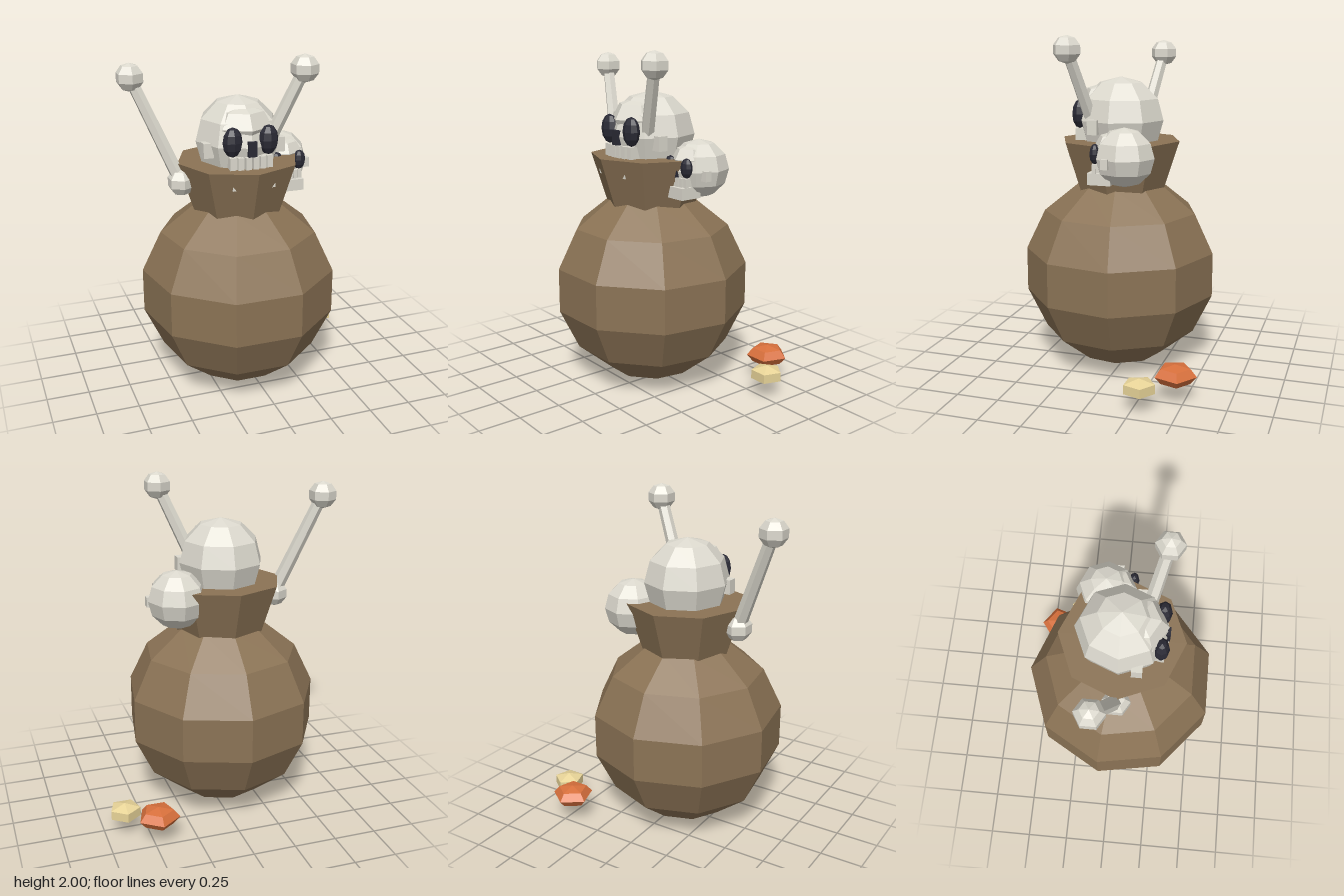
import * as THREE from 'three';

const mat = (color) => new THREE.MeshStandardMaterial({ color, flatShading: true });

export function createModel() {
  const model = new THREE.Group();
  model.name = 'sackOfBones';
  const cloth = mat(0x8b7355);
  const bone = mat(0xdcd9ce);
  const dark = mat(0x2a2a35);
  const amber = mat(0xd8703c);
  const gold = mat(0xe8d498);

  const add = (parent, name, geometry, material, x, y, z) => {
    const mesh = new THREE.Mesh(geometry, material);
    mesh.name = name;
    mesh.position.set(x, y, z);
    parent.add(mesh);
    return mesh;
  };
  // Low-poly ellipsoid with one column of corners facing the back
  const ball = (rx, ry, rz, w, h) =>
    new THREE.SphereGeometry(1, w, h).rotateY(-Math.PI / 2).scale(rx, ry, rz);
  const box = (w, h, d) => new THREE.BoxGeometry(w, h, d);

  // Sack body and flared, filled neck
  add(model, 'sackBody', ball(0.587, 0.587, 0.587, 9, 7), cloth, -0.06, 0.59, 0.032);
  add(model, 'sackNeck', new THREE.CylinderGeometry(0.36, 0.25, 0.34, 8), cloth, -0.06, 1.215, 0.032);

  // Skull built around the centre of its cranium, facing +z
  const addSkull = (name, x, y, z, scale) => {
    const skull = new THREE.Group();
    skull.name = name;
    skull.position.set(x, y, z);
    skull.scale.setScalar(scale);
    add(skull, 'cranium', ball(0.25, 0.25, 0.26, 8, 6), bone, 0, 0, 0);
    add(skull, 'brow', ball(0.17, 0.12, 0.16, 6, 4), bone, 0, 0.095, 0.095);
    add(skull, 'upperJaw', box(0.24, 0.07, 0.16), bone, 0, -0.085, 0.15);
    add(skull, 'lowerJaw', box(0.25, 0.1, 0.2), bone, 0, -0.175, 0.185);
    add(skull, 'noseHole', box(0.05, 0.085, 0.04), dark, 0, -0.005, 0.245);
    for (const side of [-1, 1]) {
      add(skull, 'eyeSocket', ball(0.058, 0.085, 0.045, 8, 6), dark, side * 0.105, 0.035, 0.222);
      add(skull, 'cheekbone', box(0.06, 0.085, 0.06), bone, side * 0.212, -0.028, 0.1);
    }
    // Row of teeth along a shallow arc
    for (let i = 0; i < 6; i++) {
      const t = (i - 2.5) * 0.043;
      add(skull, 'tooth', box(0.033, 0.075, 0.03), bone, t, -0.088, 0.245 - t * t * 1.5);
    }
    model.add(skull);
  };
  addSkull('largeSkull', -0.06, 1.505, 0.03, 1);
  addSkull('smallSkull', 0.24, 1.325, -0.083, 0.68);

  // Long bone with a knob at each end, from top to bottom point
  const addBone = (name, top, bottom) => {
    const group = new THREE.Group();
    group.name = name;
    const a = new THREE.Vector3(...top);
    const b = new THREE.Vector3(...bottom);
    const mid = a.clone().add(b).multiplyScalar(0.5);
    const shaft = add(group, 'shaft', new THREE.CylinderGeometry(0.035, 0.042, a.distanceTo(b), 6),
      bone, mid.x, mid.y, mid.z);
    shaft.quaternion.setFromUnitVectors(new THREE.Vector3(0, 1, 0), a.clone().sub(b).normalize());
    for (const p of [a, b]) add(group, 'knob', ball(0.082, 0.08, 0.085, 6, 5), bone, p.x, p.y, p.z);
    model.add(group);
  };
  addBone('rightBone', [-0.648, 1.87, -0.075], [-0.4, 1.275, 0.03]);
  addBone('leftBone', [0.256, 1.92, 0.248], [0.0, 1.32, 0.13]);

  // Loose gems beside the sack
  add(model, 'amberGem', ball(0.123, 0.061, 0.123, 5, 4), amber, 0.47, 0.163, -0.45);
  add(model, 'goldGem', ball(0.104, 0.053, 0.104, 5, 3), gold, 0.63, 0.135, -0.288);

  return model;
}
